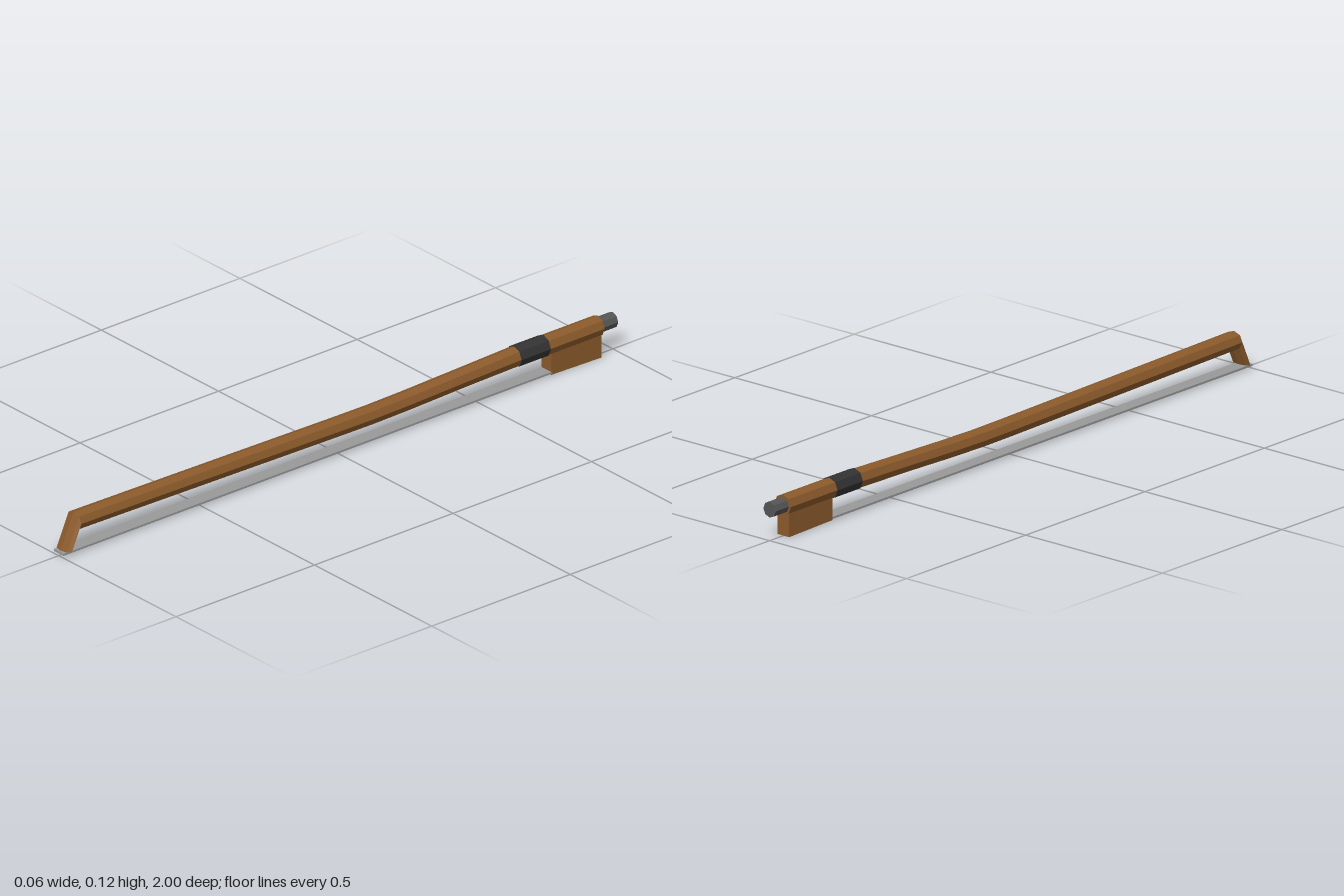
import * as THREE from 'three';

const SIDES = 8;

const material = (color) => new THREE.MeshStandardMaterial({ color, flatShading: true });

// Octagonal section, corner up: c = [y, z] centre, u = [y, z] half-axis to the "top" corner, rx = half width
const section = (c, u, rx) => Array.from({ length: SIDES }, (_, i) => {
  const a = (i / SIDES) * Math.PI * 2;
  return [Math.sin(a) * rx, c[0] + Math.cos(a) * u[0], c[1] + Math.cos(a) * u[1]];
});

// Skin sections running front to back and cap both ends
function loft(sections) {
  const points = sections.flat();
  const index = [];
  const last = (sections.length - 1) * SIDES;
  for (let r = 0; r < sections.length - 1; r++) {
    for (let i = 0; i < SIDES; i++) {
      const a = r * SIDES + i;
      const b = r * SIDES + (i + 1) % SIDES;
      index.push(a, b, a + SIDES, b, b + SIDES, a + SIDES);
    }
  }
  for (let i = 1; i < SIDES - 1; i++) {
    index.push(0, i + 1, i, last, last + i, last + i + 1);
  }
  const g = new THREE.BufferGeometry();
  g.setAttribute('position', new THREE.Float32BufferAttribute(points.flat(), 3));
  g.setIndex(index);
  const flat = g.toNonIndexed();
  flat.computeVertexNormals();
  return flat;
}

export function createModel() {
  const group = new THREE.Group();
  const wood = material(0x8b5a2b);
  const add = (name, geometry, mat) => {
    const mesh = new THREE.Mesh(geometry, mat);
    mesh.name = name;
    group.add(mesh);
    return mesh;
  };

  // Stick: angled head, mitred corner, then a gently cambered octagonal rod
  const camber = [[0.5, 0.085], [0, 0.078], [-0.12, 0.077], [-0.25, 0.079], [-0.45, 0.085], [-0.65, 0.09], [-0.945, 0.09]];
  add('stick', loft([
    section([0.015, 0.978], [-0.002, 0.015], 0.031),
    section([0.091, 0.944], [0.027, 0.002], 0.031),
    ...camber.map(([z, y]) => section([y, z], [z < -0.6 ? 0.03 : 0.028, 0], 0.03)),
  ]), wood);

  // Grip winding around the stick
  add('gripWinding', loft([-0.645, -0.75].map((z) => section([0.09, z], [0.032, 0], 0.0315))), material(0x333333));

  // Tension screw at the back end
  add('tensionScrew', loft([-0.94, -1].map((z) => section([0.09, z], [0.023, 0], 0.023))), material(0x555555));

  // Frog: block under the stick with a slightly sloping base
  const profile = new THREE.Shape([[-0.76, 0.004], [-0.76, 0.08], [-0.942, 0.08], [-0.942, 0]]
    .map(([z, y]) => new THREE.Vector2(z, y)));
  const frog = new THREE.ExtrudeGeometry(profile, { depth: 0.042, bevelEnabled: false });
  frog.rotateY(-Math.PI / 2).translate(0.021, 0, 0);
  add('frog', frog, wood);

  // Flat ribbon of hair from head to frog
  add('hair', new THREE.BoxGeometry(0.042, 0.006, 1.78), material(0x999999)).position.set(0, 0.01, 0.11);

  return group;
}
